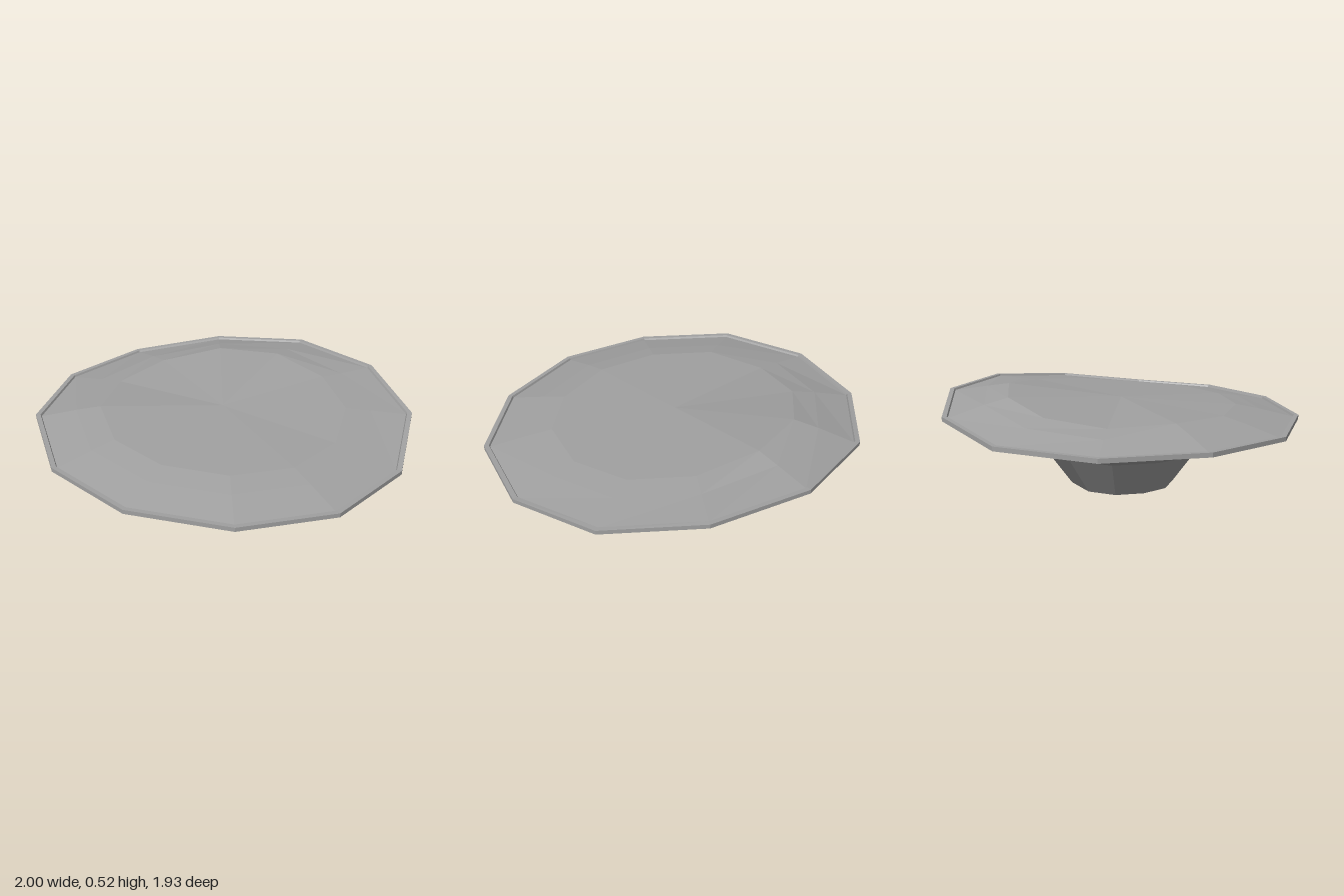
import * as THREE from 'three';

// Rim corners, clockwise from the back: x, z, underside height, height of the filling's plateau
const CORNERS = [
  [-0.02, -0.97, 0.42, 0.51], [0.49, -0.81, 0.465, 0.522], [0.86, -0.44, 0.465, 0.49],
  [1, 0.04, 0.415, 0.46], [0.86, 0.52, 0.36, 0.43], [0.52, 0.86, 0.355, 0.425],
  [0.05, 0.965, 0.355, 0.425], [-0.45, 0.83, 0.355, 0.43], [-0.83, 0.48, 0.355, 0.435],
  [-1, -0.02, 0.375, 0.45], [-0.89, -0.51, 0.375, 0.44], [-0.53, -0.86, 0.38, 0.465],
];

// A ring is the rim outline scaled, with a height rule per corner
const ring = (scale, height) =>
  CORNERS.map(([x, z, low, top]) => [x * scale, height(low, top), z * scale]);

// Faceted skin between successive rings, running from below, outward and over the top
function skin(name, material, rings) {
  const points = [];
  for (let r = 0; r < rings.length - 1; r++) {
    for (let j = 0; j < CORNERS.length; j++) {
      const k = (j + 1) % CORNERS.length;
      const [a, b, c, d] = [rings[r][j], rings[r][k], rings[r + 1][k], rings[r + 1][j]];
      if (a[0] !== b[0] || a[2] !== b[2]) points.push(...b, ...a, ...d);
      if (c[0] !== d[0] || c[2] !== d[2]) points.push(...b, ...d, ...c);
    }
  }
  const geometry = new THREE.BufferGeometry();
  geometry.setAttribute('position', new THREE.Float32BufferAttribute(points, 3));
  geometry.computeVertexNormals();
  const mesh = new THREE.Mesh(geometry, material);
  mesh.name = name;
  return mesh;
}

export function createModel() {
  const model = new THREE.Group();
  model.name = 'dish';
  const grey = new THREE.MeshStandardMaterial({ color: 0xa0a0a0, flatShading: true, side: THREE.DoubleSide });
  grey.name = 'stone grey';

  // Heights follow the lopsided rim, less strongly further down
  const footY = (low) => (low - 0.355) * 0.3;
  const neckY = (low) => 0.2 + (low - 0.355) * 0.4;
  const rimTop = (low) => low + 0.022;
  const fillEdge = (low) => low + 0.012;

  const foot = ring(0.3, footY);
  const neck = ring(0.455, neckY);
  const lip = ring(0.94, (low) => low - 0.003);

  model.add(skin('foot', grey, [ring(0, () => 0.012), foot, neck]));
  model.add(skin('bowl', grey, [neck, lip]));
  model.add(skin('rim', grey, [
    lip, ring(1, (low) => low), ring(1, rimTop), ring(0.975, rimTop), ring(0.97, fillEdge),
  ]));

  // Mounded filling with a softened shoulder and a broad, tilted plateau
  model.add(skin('filling', grey, [
    ring(0.97, fillEdge),
    ring(0.78, (low, top) => low * 0.3 + top * 0.7),
    ring(0.65, (low, top) => top),
    ring(0, () => 0.462),
  ]));
  return model;
}
